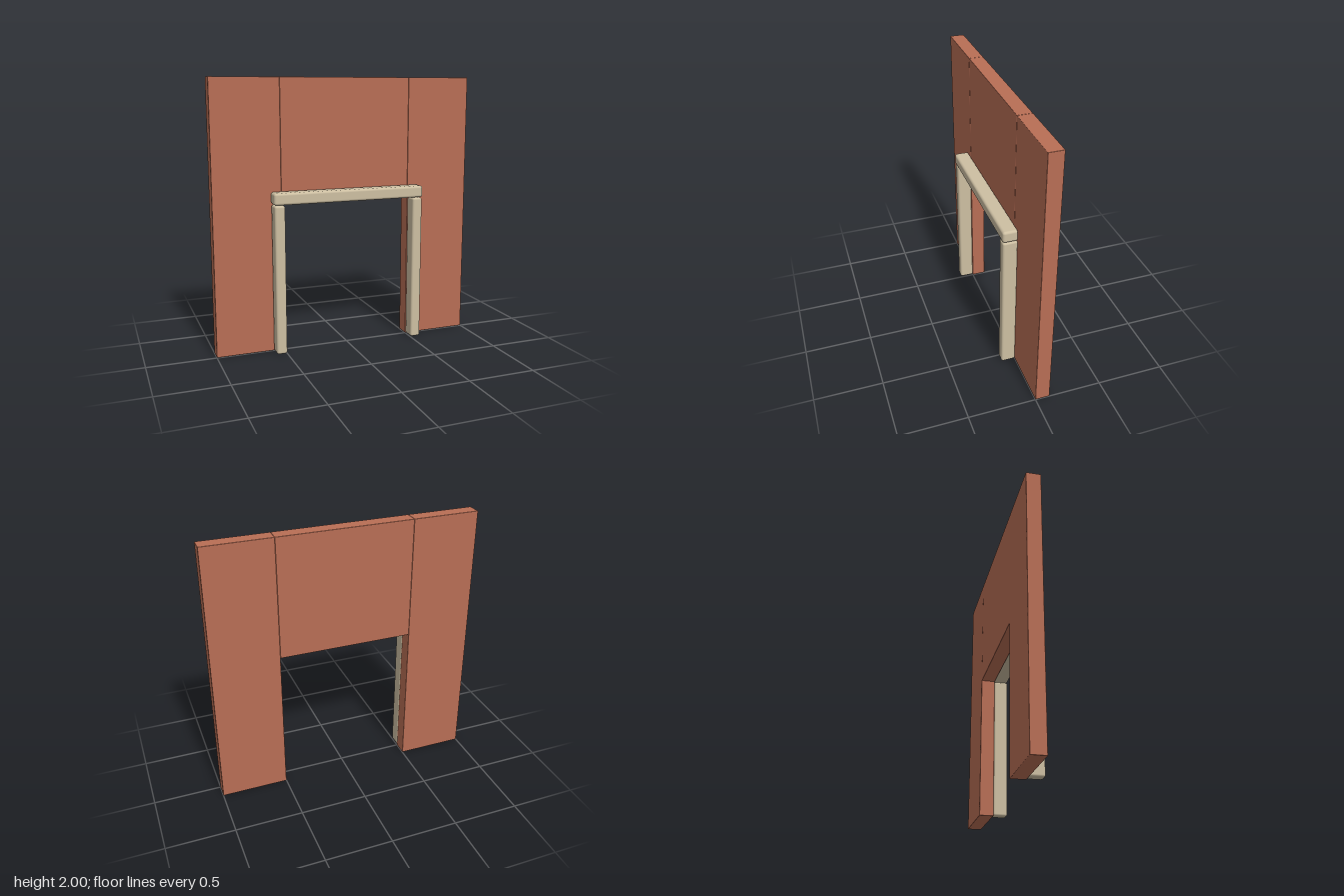
import * as THREE from 'three';
import { RoundedBoxGeometry } from 'three/addons/geometries/RoundedBoxGeometry.js';

const clay = new THREE.MeshStandardMaterial({ color: 0xb86e55 });
clay.name = 'terracotta';
const cream = new THREE.MeshStandardMaterial({ color: 0xcdbfa2 });
cream.name = 'cream';

// Soft-edged block spanning the two given corners
function block(name, material, [x0, y0, z0], [x1, y1, z1], radius) {
  const geometry = new RoundedBoxGeometry(x1 - x0, y1 - y0, z1 - z0, 3, radius);
  const mesh = new THREE.Mesh(geometry, material);
  mesh.name = name;
  mesh.position.set((x0 + x1) / 2, (y0 + y1) / 2, (z0 + z1) / 2);
  return mesh;
}

export function createModel() {
  const group = new THREE.Group();
  group.name = 'doorwayWall';
  const depth = 0.107;

  // Wall panel above the opening
  group.add(block('upperPanel', clay, [-0.5, 1.1, -depth], [0.5, 2, 0], 0.004));

  // Side panels and door posts, mirrored
  for (const [side, s] of [['left', 1], ['right', -1]]) {
    const span = (a, b) => (s > 0 ? [a, b] : [-b, -a]);
    const [w0, w1] = span(0.5, 1);
    group.add(block(side + 'Panel', clay, [w0, 0, -depth], [w1, 2, 0], 0.004));
    const [p0, p1] = span(0.5, 0.577);
    group.add(block(side + 'Post', cream, [p0, 0.003, 0], [p1, 1.102, depth], 0.016));
  }

  // Lintel resting on the posts
  group.add(block('lintel', cream, [-0.58, 1.105, 0], [0.58, 1.192, depth + 0.002], 0.018));

  return group;
}
